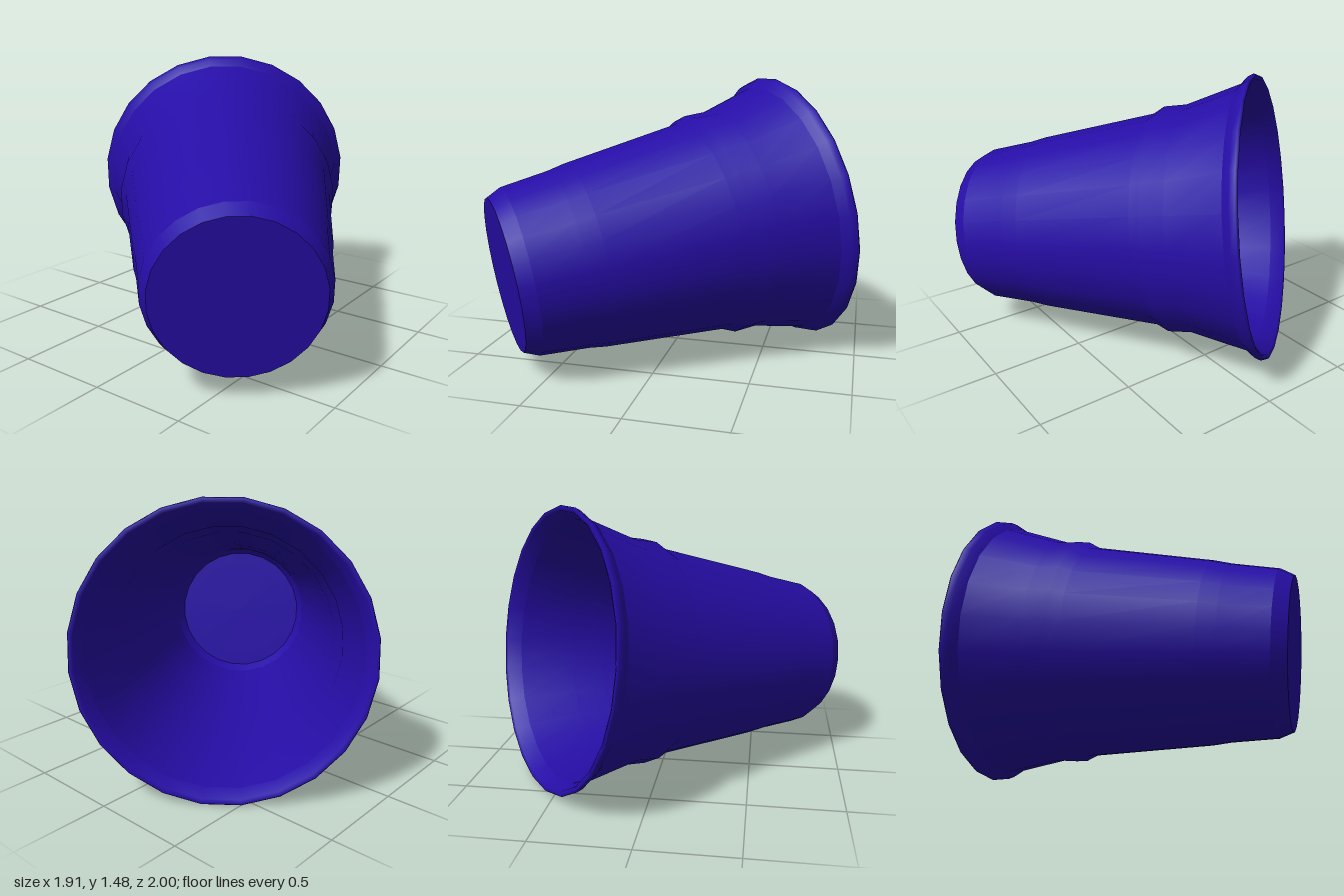
import * as THREE from 'three';

const SIDES = 24;

export function createModel() {
  const group = new THREE.Group();
  group.name = 'cup';
  const blue = new THREE.MeshStandardMaterial({ color: 0x260da6 });
  blue.name = 'deep blue plastic';

  // The cup is built upright from [radius, height] pairs, then laid on its side
  const cup = new THREE.Group();
  cup.name = 'tippedCup';
  group.add(cup);

  const turned = (name, profile) => {
    const points = profile.map(([r, h]) => new THREE.Vector2(r, h));
    const mesh = new THREE.Mesh(new THREE.LatheGeometry(points, SIDES, Math.PI / SIDES), blue);
    mesh.name = name;
    cup.add(mesh);
  };

  // Outer wall from the foot up, with stacking step and flared mouth
  const wall = [
    [0.441, 0.075], [0.474, 0.325], [0.494, 0.42], [0.585, 1.077],
    [0.619, 1.139], [0.621, 1.263], [0.706, 1.56],
  ];
  const thickness = 0.015;

  turned('base', [[0, 0], [0.32, 0], [0.404, 0]]);
  turned('footBevel', [[0.404, 0], [0.441, 0.075]]);
  turned('outerWall', wall);
  turned('rimLip', [[0.706, 1.56], [0.74, 1.598], [0.753, 1.63], [0.746, 1.642], [0.725, 1.634], [0.691, 1.56]]);

  // Inside faces follow the wall back down to the floor
  turned('innerWall', wall.map(([r, h]) => [r - thickness, h]).reverse());
  turned('innerBevel', [[0.426, 0.075], [0.392, thickness]]);
  turned('innerFloor', [[0.392, thickness], [0.32, thickness], [0, thickness]]);

  // Lay the cup down: mouth to the back right, base to the front left
  const up = new THREE.Vector3(-0.609, 0.141, -0.78).normalize();
  const top = new THREE.Vector3(0, 1, 0).addScaledVector(up, -up.y).normalize();
  const side = new THREE.Vector3().crossVectors(up, top);
  cup.quaternion.setFromRotationMatrix(new THREE.Matrix4().makeBasis(side, up, top));
  cup.position.set(0.635, 0.51, 0.745);

  return group;
}
